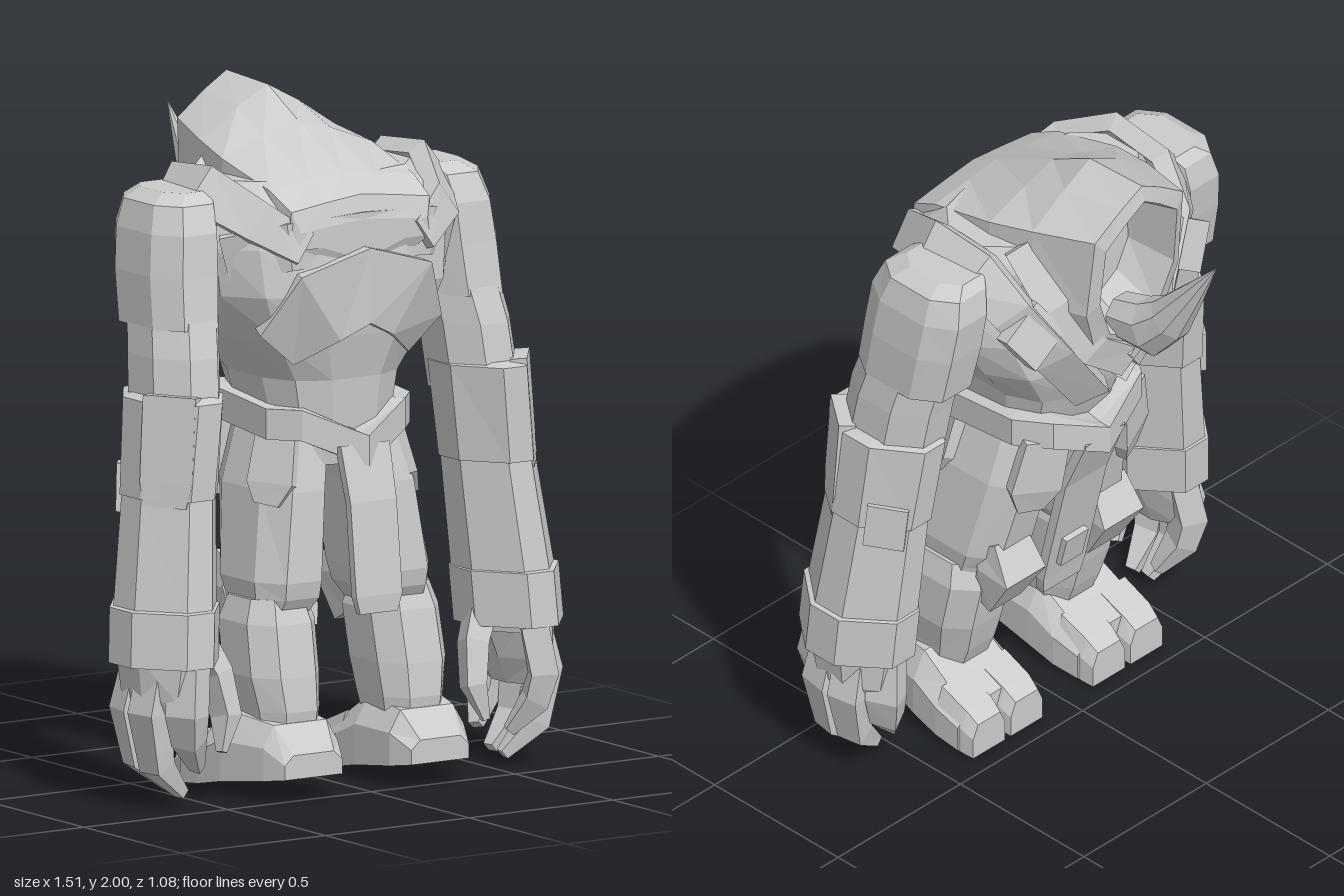
import * as THREE from 'three';

const V = (x, y, z) => new THREE.Vector3(x, y, z);
const material = new THREE.MeshStandardMaterial({ color: 0xcccccc, flatShading: true });

// Closed skin through rings of equal point count, turned to face outwards
function loft(rings) {
  const tris = [];
  const n = rings[0].length;
  for (let i = 0; i < rings.length - 1; i++) {
    for (let j = 0; j < n; j++) {
      const k = (j + 1) % n, a = rings[i], b = rings[i + 1];
      tris.push([a[j], a[k], b[k]], [a[j], b[k], b[j]]);
    }
  }
  const cap = (ring, flip) => {
    const c = ring.reduce((s, p) => s.add(p), V(0, 0, 0)).divideScalar(n);
    ring.forEach((p, j) => {
      const q = ring[(j + 1) % n];
      tris.push(flip ? [c, q, p] : [c, p, q]);
    });
  };
  cap(rings[0], true);
  cap(rings[rings.length - 1], false);
  const volume = tris.reduce((s, [a, b, c]) => s + a.dot(b.clone().cross(c)), 0);
  if (volume < 0) tris.forEach((t) => t.reverse());
  const g = new THREE.BufferGeometry().setFromPoints(tris.flat());
  g.computeVertexNormals();
  return g;
}

// Horizontal rings: each level is [y, x, z, half width, half depth];
// power below 1 makes them boxy, above 1 diamond shaped
function levels(list, n = 8, power = 0.75) {
  const pw = (v) => Math.sign(v) * Math.abs(v) ** power;
  return list.map(([y, x, z, rx, rz]) => Array.from({ length: n }, (_, i) => {
    const a = ((i + 0.5) / n) * Math.PI * 2;
    return V(x + pw(Math.cos(a)) * rx, y, z + pw(Math.sin(a)) * rz);
  }));
}

// Section swept along a path: each stop is [x, y, z, width, thickness]
function sweep(path, normal, n = 4) {
  const pts = path.map((p) => V(p[0], p[1], p[2]));
  return pts.map((p, i) => {
    const d = pts[Math.min(i + 1, pts.length - 1)].clone().sub(pts[Math.max(i - 1, 0)]).normalize();
    const out = normal === 'radial' ? p.clone().sub(V(0, 1.45, 0.15)) : normal;
    const side = d.clone().cross(out).normalize();
    const up = side.clone().cross(d);
    const k = n === 4 ? Math.SQRT1_2 : 0.5;
    return Array.from({ length: n }, (_, j) => {
      const a = ((j + 0.5) / n) * Math.PI * 2;
      return p.clone()
        .addScaledVector(side, Math.cos(a) * k * path[i][3])
        .addScaledVector(up, Math.sin(a) * k * path[i][4]);
    });
  });
}

// Path that starts on the middle line, continued onto the other side
const mirrored = (path) => [...path.slice(1).reverse().map(([x, ...rest]) => [-x, ...rest]), ...path];

export function createModel() {
  const model = new THREE.Group();
  const add = (name, rings) => {
    const m = new THREE.Mesh(loft(rings), material);
    m.name = name;
    model.add(m);
  };
  const pair = (name, rings) => {
    add(name + 'Left', rings);
    add(name + 'Right', rings.map((r) => r.map((p) => V(-p.x, p.y, p.z))));
  };
  const BACK = V(0, 0, 1), FRONT = V(0, 0, -1);

  // Torso, widening from the waist to the shoulders
  add('torso', levels([
    [0.95, 0, 0.22, 0.19, 0.19], [1.06, 0, 0.2, 0.2, 0.22], [1.2, 0, 0.18, 0.23, 0.25],
    [1.33, 0, 0.18, 0.33, 0.28], [1.46, 0, 0.2, 0.4, 0.28], [1.6, 0, 0.215, 0.42, 0.245],
    [1.7, 0, 0.2, 0.4, 0.24], [1.78, 0, 0.16, 0.33, 0.18],
  ], 12));

  // Hood: [z, top, half width, eave, bottom, shear], turning inwards to a hollow face
  const hood = [
    [0.465, 1.67, 0.22, 1.65, 1.55, 0], [0.445, 1.74, 0.24, 1.71, 1.5, 0], [0.35, 1.79, 0.25, 1.76, 1.46, 0],
    [0.12, 1.91, 0.26, 1.82, 1.4, 0], [-0.03, 1.99, 0.235, 1.85, 1.36, 0],
    [-0.24, 2.0, 0.18, 1.88, 1.34, 0.1], [-0.25, 1.95, 0.145, 1.84, 1.45, 0.1], [-0.06, 1.9, 0.12, 1.8, 1.52, 0],
  ];
  add('hood', hood.map(([z, top, w, eave, low, shear]) => {
    const mid = (eave + low) / 2;
    const half = [[0, top], [0.45 * w, top - 0.4 * (top - eave)], [w, eave], [w * 1.04, mid], [0.65 * w, low + 0.05]];
    const all = [...half, [0, low], ...half.slice(1).reverse().map(([x, y]) => [-x, y])];
    return all.map(([x, y]) => V(x, y, z + (top - y) * shear));
  }));
  pair('hoodFold', sweep([[0, 1.36, -0.17, 0.1, 0.07], [0.13, 1.46, -0.16, 0.1, 0.07],
    [0.22, 1.62, -0.1, 0.1, 0.07], [0.25, 1.78, 0.02, 0.08, 0.06]], 'radial'));

  // Curved horn under the hood
  add('horn', sweep([[0, 1.5, -0.16, 0.14, 0.14], [0, 1.52, -0.28, 0.15, 0.18], [0, 1.59, -0.355, 0.12, 0.14],
    [0, 1.72, -0.445, 0.065, 0.075], [0, 1.86, -0.54, 0.004, 0.004]], V(0, 1, -0.2), 8));

  // Back plates and shoulder harness
  add('backPlate', sweep(mirrored([[0, 1.48, 0.455, 0.22, 0.09], [0.15, 1.43, 0.44, 0.24, 0.08],
    [0.25, 1.31, 0.37, 0.15, 0.06]]), BACK));
  add('cloakEdge', sweep(mirrored([[0, 1.62, 0.445, 0.14, 0.04], [0.24, 1.61, 0.425, 0.14, 0.05],
    [0.38, 1.57, 0.31, 0.14, 0.05]]), BACK));
  pair('shoulderStrap', sweep([[0.2, 1.6, 0.45, 0.1, 0.05], [0.32, 1.68, 0.39, 0.12, 0.05],
    [0.39, 1.755, 0.22, 0.14, 0.06], [0.385, 1.74, 0.04, 0.14, 0.06], [0.35, 1.64, -0.06, 0.12, 0.05],
    [0.23, 1.45, -0.11, 0.12, 0.05], [0.06, 1.22, -0.09, 0.11, 0.05]], 'radial'));
  pair('strapBuckle', sweep([[0.35, 1.62, -0.08, 0.15, 0.05], [0.27, 1.5, -0.12, 0.15, 0.05]], FRONT));

  // Belt dipping to a point at front and back
  const beltRing = (grow, top) => {
    const quarter = [[0.25, 0.04], [0.25, 0.33], [0.18, 0.41], [0, 0.49]];
    const rest = [[-0.18, 0.41], [-0.25, 0.33], [-0.25, 0.04], [-0.18, -0.06], [0, -0.11], [0.18, -0.06]];
    return [...quarter, ...rest].map(([x, z]) =>
      V(x * grow, (x === 0 ? 0.95 : 1.03) + (top ? 0.09 : 0) + (z < 0.1 ? 0.03 : 0), 0.18 + (z - 0.18) * grow));
  };
  add('belt', [beltRing(0.85, false), beltRing(1, false), beltRing(1, true), beltRing(0.85, true)]);

  // Hanging cloths and hip plates
  add('backCloth', sweep([[0, 1.01, 0.455, 0.17, 0.03], [0, 0.85, 0.5, 0.16, 0.025],
    [0, 0.58, 0.53, 0.16, 0.025], [0, 0.53, 0.53, 0.13, 0.02]], BACK));
  add('frontCloth', sweep([[0, 1.04, -0.08, 0.16, 0.03], [0, 0.85, 0.0, 0.17, 0.03],
    [0, 0.47, 0.09, 0.17, 0.03], [0, 0.42, 0.1, 0.15, 0.03]], FRONT));
  add('clothBuckle', sweep([[0, 0.62, 0.035, 0.09, 0.03], [0, 0.52, 0.06, 0.09, 0.03]], FRONT));
  pair('hipPlate', sweep([[0.17, 1.07, -0.02, 0.14, 0.04], [0.2, 0.9, 0.0, 0.16, 0.04],
    [0.2, 0.82, 0.02, 0.08, 0.03]], V(0.4, 0, -1)));
  pair('sidePlate', sweep([[0.2, 1.04, 0.32, 0.13, 0.04], [0.235, 0.9, 0.34, 0.15, 0.04],
    [0.25, 0.84, 0.34, 0.08, 0.03]], V(1, 0.2, 0.5)));

  // Legs
  pair('thigh', levels([[1.06, 0.11, 0.2, 0.1, 0.18], [0.88, 0.155, 0.22, 0.115, 0.2],
    [0.62, 0.185, 0.26, 0.125, 0.18], [0.57, 0.185, 0.27, 0.12, 0.16], [0.52, 0.2, 0.27, 0.1, 0.13]]));
  pair('shin', levels([[0.57, 0.215, 0.28, 0.1, 0.12], [0.5, 0.215, 0.28, 0.125, 0.15],
    [0.35, 0.22, 0.31, 0.125, 0.15], [0.25, 0.215, 0.33, 0.11, 0.14], [0.18, 0.215, 0.34, 0.1, 0.12]]));
  pair('kneeGuard', sweep([[0.2, 0.66, 0.13, 0.13, 0.08], [0.2, 0.57, 0.09, 0.16, 0.12],
    [0.2, 0.45, 0.15, 0.13, 0.08]], FRONT));

  // Feet, soles tilted down towards two broad toes: [z, x, base, top, half width]
  const footRing = ([z, x, base, top, w]) => [
    V(x - w, base, z), V(x + w, base, z), V(x + w, base + (top - base) * 0.6, z),
    V(x + w * 0.7, top, z), V(x - w * 0.7, top, z), V(x - w, base + (top - base) * 0.6, z)];
  pair('foot', [[0.53, 0.22, 0.07, 0.14, 0.1], [0.46, 0.22, 0.06, 0.22, 0.13], [0.3, 0.235, 0.04, 0.24, 0.155],
    [0.2, 0.24, 0.02, 0.18, 0.16], [0.11, 0.245, 0.01, 0.14, 0.155]].map(footRing));
  for (const [i, x] of [0.168, 0.322].entries()) {
    pair('toe' + i, [[0.2, x, 0.02, 0.18, 0.074], [0.1, x, 0.005, 0.14, 0.072],
      [0.06, x, 0, 0.11, 0.065]].map(footRing));
  }

  // Arms: shoulder cap, upper arm, then diamond shaped forearm, guard and cuff
  pair('shoulder', levels([[1.42, 0.49, 0.2, 0.1, 0.14], [1.38, 0.495, 0.19, 0.12, 0.18],
    [1.53, 0.485, 0.165, 0.125, 0.185], [1.65, 0.475, 0.15, 0.12, 0.185],
    [1.73, 0.46, 0.14, 0.11, 0.16], [1.76, 0.43, 0.13, 0.09, 0.12]]));
  pair('upperArm', levels([[1.5, 0.475, 0.18, 0.125, 0.16], [1.3, 0.505, 0.23, 0.125, 0.17],
    [1.1, 0.52, 0.26, 0.125, 0.17]], 8, 1));
  const DIAMOND = 1.35;
  pair('forearm', levels([[1.18, 0.525, 0.26, 0.13, 0.19], [0.9, 0.555, 0.28, 0.145, 0.185],
    [0.55, 0.59, 0.31, 0.16, 0.2], [0.4, 0.6, 0.32, 0.13, 0.17]], 8, DIAMOND));
  pair('elbowGuard', levels([[0.9, 0.555, 0.28, 0.12, 0.15], [0.9, 0.555, 0.28, 0.15, 0.195],
    [1.18, 0.53, 0.265, 0.15, 0.215], [1.19, 0.53, 0.265, 0.12, 0.17]], 8, DIAMOND));
  pair('elbowFlap', sweep([[0.605, 1.2, 0.37, 0.16, 0.05], [0.625, 0.95, 0.38, 0.16, 0.04],
    [0.63, 0.88, 0.38, 0.13, 0.04]], V(0.8, 0, 0.6)));
  pair('forearmClasp', sweep([[0.625, 0.98, 0.165, 0.12, 0.05], [0.635, 0.84, 0.175, 0.12, 0.05]], V(0.8, 0, -0.6)));
  pair('cuff', levels([[0.42, 0.6, 0.32, 0.13, 0.17], [0.42, 0.6, 0.32, 0.17, 0.21],
    [0.58, 0.59, 0.31, 0.17, 0.21], [0.59, 0.59, 0.31, 0.13, 0.17]], 8, DIAMOND));

  // Hands: palm, four curled fingers fanned around it and a thumb
  pair('palm', levels([[0.45, 0.6, 0.32, 0.14, 0.18], [0.32, 0.62, 0.32, 0.1, 0.16],
    [0.24, 0.62, 0.32, 0.06, 0.12]], 8, 1.2));
  const fingers = [[0.61, 0.19, 0.1], [0.67, 0.27, 0.04], [0.67, 0.37, 0.03], [0.61, 0.46, 0.11]];
  fingers.forEach(([x, z, tip], i) => {
    const inward = (s) => [x + (0.52 - x) * s, z + (0.32 - z) * s * 0.5];
    const stop = (s, y, w, t) => { const [a, b] = inward(s); return [a, y, b, w, t]; };
    pair('finger' + i, sweep([stop(0.15, 0.42, 0.09, 0.08), stop(-0.1, 0.28, 0.1, 0.08),
      stop(0.1, tip + 0.09, 0.08, 0.07), stop(0.75, tip, 0.035, 0.03)], V(0.9, 0, (z - 0.32) * 3)));
  });
  pair('thumb', sweep([[0.5, 0.47, 0.33, 0.09, 0.08], [0.45, 0.37, 0.36, 0.085, 0.07],
    [0.43, 0.25, 0.39, 0.07, 0.06], [0.46, 0.15, 0.41, 0.025, 0.02]], V(-0.8, 0, -0.2)));

  return model;
}
